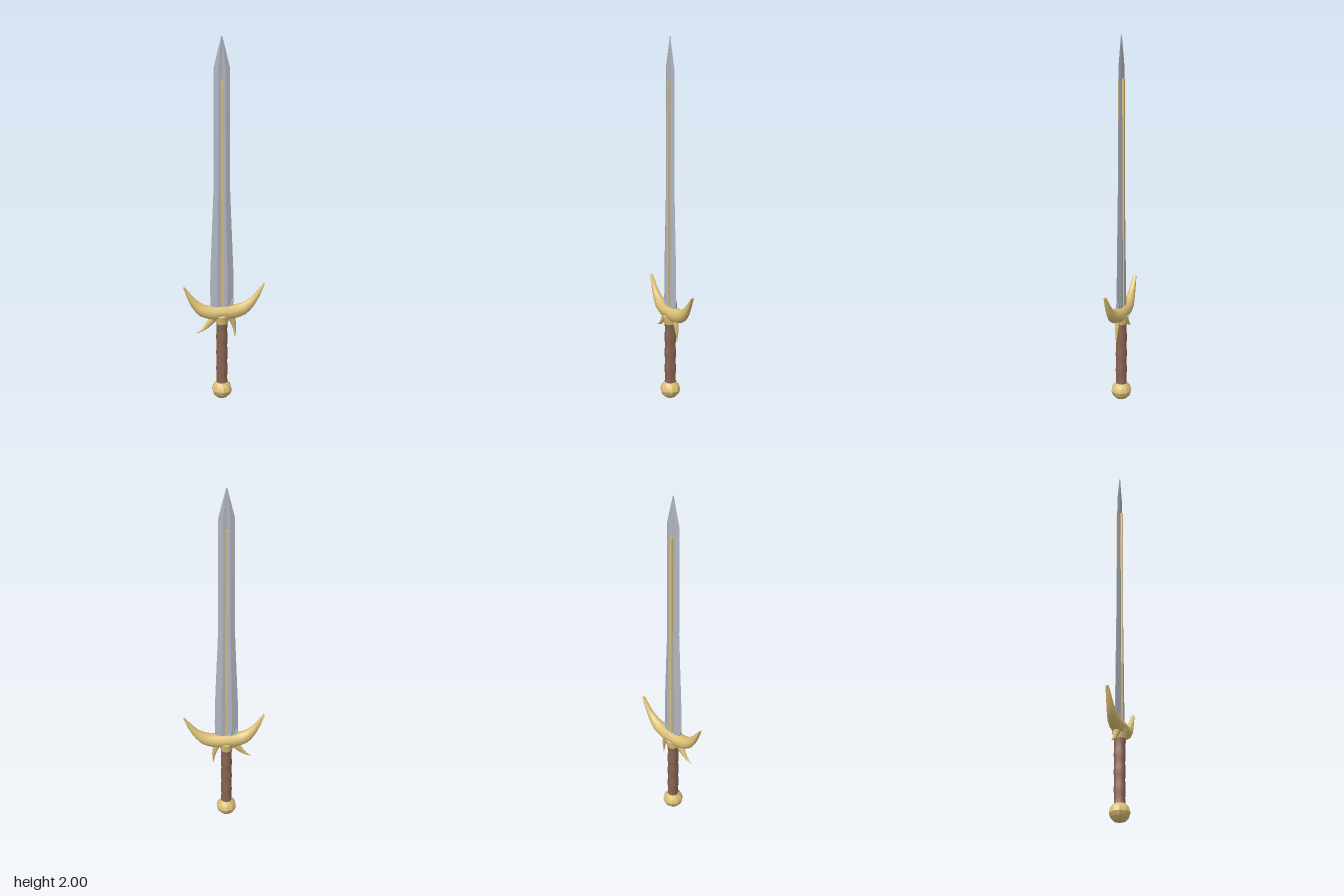
import * as THREE from 'three';
import { toCreasedNormals } from 'three/addons/utils/BufferGeometryUtils.js';

const CX = -0.014; // axis of blade and grip
const mat = (color) => new THREE.MeshStandardMaterial({ color });

// Skin a list of equal-length rings, counter-clockwise about the direction of travel, capped at both ends
function loft(rings, crease) {
  const n = rings[0].length, last = (rings.length - 1) * n;
  const pos = rings.flat(2), index = [];
  for (let i = 0; i < rings.length - 1; i++) {
    for (let j = 0; j < n; j++) {
      const a = i * n + j, b = i * n + (j + 1) % n;
      index.push(a, b, a + n, b, b + n, a + n);
    }
  }
  for (let j = 1; j < n - 1; j++) index.push(0, j + 1, j, last, last + j, last + j + 1);
  const geo = new THREE.BufferGeometry();
  geo.setAttribute('position', new THREE.Float32BufferAttribute(pos, 3));
  geo.setIndex(index);
  return toCreasedNormals(geo, crease);
}

// Tapering horn in the xy plane; each station is [x, y, radius in plane, radius in z]
function horn(stations, steps, sides = 8, crease = 0.9) {
  const path = new THREE.CatmullRomCurve3(stations.map(([x, y]) => new THREE.Vector3(x, y, 0)));
  const rings = [];
  for (let i = 0; i <= steps; i++) {
    const t = i / steps, f = t * (stations.length - 1);
    const k = Math.min(Math.floor(f), stations.length - 2);
    const p = path.getPoint(t), d = path.getTangent(t);
    const r = [2, 3].map((c) => THREE.MathUtils.lerp(stations[k][c], stations[k + 1][c], f - k));
    rings.push(Array.from({ length: sides }, (_, j) => {
      const a = (j / sides) * Math.PI * 2;
      const u = Math.cos(a) * r[0];
      return [p.x - d.y * u, p.y + d.x * u, Math.sin(a) * r[1]];
    }));
  }
  return loft(rings, crease);
}

function lathe(points, sides, crease) {
  const geo = new THREE.LatheGeometry(points.map(([r, y]) => new THREE.Vector2(r, y)), sides);
  return toCreasedNormals(geo, crease).translate(CX, 0, 0);
}

export function createModel() {
  const group = new THREE.Group();
  const steel = mat(0xb0b4be), gold = mat(0xdcc076), leather = mat(0x8a6552);
  const add = (name, geo, material) => {
    const mesh = new THREE.Mesh(geo, material);
    mesh.name = name;
    group.add(mesh);
    return mesh;
  };

  // Blade: bevelled section with a shallow central groove; [y, half width, half thickness]
  const blade = [
    [0.5, 0.06, 0.016], [0.62, 0.064, 0.016], [0.75, 0.062, 0.015], [1.2, 0.044, 0.012],
    [1.84, 0.042, 0.008], [2, 0.003, 0.002],
  ].map(([y, w, t]) => [
    [1, 0], [0.45, -1], [0, -0.65], [-0.45, -1], [-1, 0], [-0.45, 1], [0, 0.65], [0.45, 1],
  ].map(([x, z]) => [CX + x * w, y, z * t]));
  add('blade', loft(blade, 0.15), steel);

  // Gold inlay running along both faces
  add('bladeInlay', new THREE.BoxGeometry(0.011, 1.25, 0.034).translate(CX, 1.15, 0), gold);

  // Small steel barbs at the root of the blade
  for (const s of [-1, 1]) {
    add('bladeBarb', horn([
      [CX + s * 0.04, 0.525, 0.014, 0.014], [CX + s * 0.054, 0.56, 0.009, 0.01],
      [CX + s * 0.062, 0.59, 0.001, 0.001],
    ], 4, 6, 0.3), steel);
  }

  // Crescent crossguard, swept from one tip to the other
  const arm = [
    [0.055, 0.504, 0.04, 0.039], [0.115, 0.518, 0.036, 0.032],
    [0.172, 0.565, 0.022, 0.02], [0.232, 0.657, 0.004, 0.009],
  ];
  const left = arm.map(([x, y, a, b]) => [CX + x, y, a, b]);
  const right = arm.map(([x, y, a, b]) => [CX * 0.85 - x * 0.9, y, a, b]).reverse();
  add('crossguard', horn([...right, [CX, 0.506, 0.037, 0.041], ...left], 24, 10), gold);

  // Two downward claws under the guard, splayed unevenly
  add('rightClaw', horn([
    [-0.05, 0.485, 0.024, 0.02], [-0.082, 0.445, 0.018, 0.014],
    [-0.115, 0.41, 0.009, 0.008], [-0.152, 0.388, 0.001, 0.001],
  ], 8), gold);
  add('leftClaw', horn([
    [0.03, 0.49, 0.022, 0.02], [0.046, 0.45, 0.016, 0.014],
    [0.056, 0.405, 0.009, 0.008], [0.058, 0.355, 0.001, 0.001],
  ], 8), gold);

  // Collar joining guard and grip
  add('collar', lathe([[0, 0.44], [0.033, 0.44], [0.038, 0.465], [0.042, 0.485], [0.034, 0.497], [0, 0.5]], 10, 0.7), gold);

  // Leather grip with gentle swells
  const grip = [];
  for (let i = 0; i <= 16; i++) {
    grip.push([0.0305 + 0.0015 * Math.cos((i * Math.PI) / 2), 0.08 + 0.37 * (i / 16)]);
  }
  add('grip', lathe(grip, 10, 0.8), leather);

  // Rounded, faceted pommel
  add('pommel', lathe([
    [0, 0], [0.03, 0.008], [0.048, 0.027], [0.056, 0.05], [0.05, 0.075], [0.034, 0.095], [0, 0.099],
  ], 10, 0.5), gold);

  return group;
}
